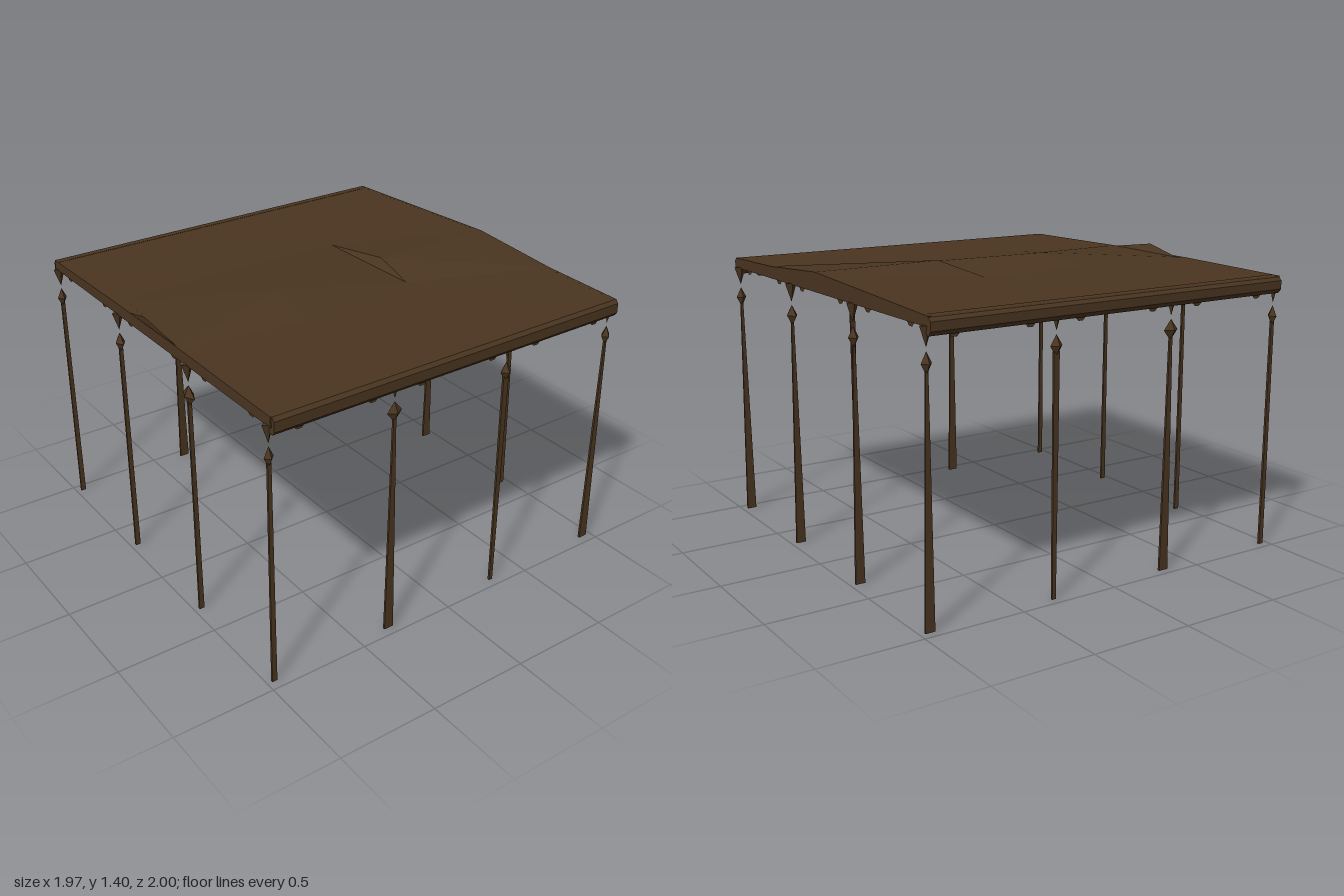
import * as THREE from 'three';

export function createModel() {
  const model = new THREE.Group();
  model.name = 'pavilion';
  const wood = new THREE.MeshStandardMaterial({ color: 0x4a3520, flatShading: true, side: THREE.DoubleSide });

  function add(name, geometry, parent = model) {
    const mesh = new THREE.Mesh(geometry, wood);
    mesh.name = name;
    parent.add(mesh);
    return mesh;
  }

  // Convex panels, each a fan of [x, y, z] corners
  function panels(list) {
    const pos = [];
    for (const p of list)
      for (let i = 1; i < p.length - 1; i++) pos.push(...p[0], ...p[i], ...p[i + 1]);
    const g = new THREE.BufferGeometry();
    g.setAttribute('position', new THREE.Float32BufferAttribute(pos, 3));
    g.computeVertexNormals();
    return g;
  }

  // Outline of [z, y] points extruded along x
  function extrudeX(points, x0, x1) {
    const shape = new THREE.Shape(points.map(([z, y]) => new THREE.Vector2(-z, y)));
    const g = new THREE.ExtrudeGeometry(shape, { depth: x1 - x0, bevelEnabled: false });
    return g.rotateY(Math.PI / 2).translate(x0, 0, 0);
  }

  // Roof skin: low slopes around a sunken middle panel with a ridge on each side
  const L = -0.965, R = 0.95;
  const backL = [L, 1.35, -0.98], backR = [R, 1.35, -0.98];
  const frontL = [L, 1.355, 0.98], frontR = [R, 1.355, 0.98];
  const midBL = [-0.31, 1.366, -0.33], midBR = [0.26, 1.361, -0.32];
  const midFR = [0.27, 1.361, 0.28], midFL = [-0.37, 1.363, 0.36];
  const ridgeL = [-0.32, 1.393, 0.05], ridgeR = [0.3, 1.402, 0.04];
  const endR = [R, 1.398, 0.04], sideR = [R, 1.364, 0.54];
  const endB = [L, 1.362, -0.32], endF = [L, 1.362, 0.27];
  add('roofTop', panels([
    [backL, endB, midBL], [backL, midBL, midBR], [backL, midBR, backR],
    [frontL, midFL, endF], [frontL, midFR, midFL],
    [frontL, frontR, midFR], [frontR, sideR, midFR],
    [midBR, ridgeR, endR], [midBR, endR, backR],
    [ridgeR, midFR, sideR], [ridgeR, sideR, endR],
    [midBR, midFR, ridgeR],
    [endB, ridgeL, midBL], [endB, endF, ridgeL], [endF, midFL, ridgeL],
    [ridgeL, midFL, midFR], [ridgeL, midFR, midBR], [ridgeL, midBR, midBL],
  ]));
  // Raised sliver along the left edge of the roof
  add('roofLip', panels([
    [[-0.92, 1.362, -0.32], [-0.975, 1.402, -0.03], [-0.965, 1.36, 0.26]],
    [[-0.975, 1.402, -0.03], [-0.965, 1.36, 0.26], [-0.965, 1.33, -0.3]],
  ]));
  add('roofUnderside', panels([[[L, 1.306, -0.97], [R, 1.306, -0.97], [R, 1.306, 0.97], [L, 1.306, 0.97]]]));

  // Rolled eaves at the front and back
  const frontEave = [[0.94, 1.306], [0.955, 1.275], [0.985, 1.272], [1, 1.29], [1, 1.338], [0.985, 1.355], [0.94, 1.355]];
  const backEave = [[-0.94, 1.305], [-0.96, 1.275], [-0.985, 1.27], [-1, 1.29], [-1, 1.33], [-0.985, 1.346], [-0.94, 1.352]];
  add('frontEave', extrudeX(frontEave, -0.965, 0.955));
  add('backEave', extrudeX(backEave, -0.965, 0.955));

  // Side boards follow the roof line
  add('rightBoard', extrudeX([[0.98, 1.305], [0.98, 1.355], [0.54, 1.364], [0.04, 1.398], [-0.98, 1.35], [-0.98, 1.305]], 0.94, 0.955));
  add('leftBoard', extrudeX([[0.98, 1.305], [0.98, 1.355], [0.27, 1.362], [-0.32, 1.362], [-0.98, 1.35], [-0.98, 1.305]], -0.97, -0.955));

  // Small carved teeth hanging under all four edges
  const tooth = (a, top, depth) => [[a - 0.035, top], [a + 0.035, top], [a + 0.012, top - depth], [a - 0.012, top - depth]];
  for (const a of [-0.83, -0.46, -0.2, 0.2, 0.46, 0.83]) {
    for (const z of [-0.975, 0.975])
      add('eaveTooth', panels([tooth(a, 1.278, 0.024).map(([x, y]) => [x, y, z])]));
    for (const x of [-0.962, 0.948])
      add('sideTooth', panels([tooth(a, 1.308, 0.022).map(([z, y]) => [x, y, z])]));
  }

  // Posts round the edge: thin blades, each with a diamond knob and a bracket
  const columns = [
    { x: -0.962, top: 0.018, base: 0.026, knob: 0.024 },
    { x: -0.325, top: 0.014, base: 0.05, knob: 0.04 },
    { x: 0.312, top: 0.03, base: 0.02, knob: 0.032 },
    { x: 0.95, top: 0.012, base: 0.048, knob: 0.026 },
  ];
  const rows = [
    { z: 0.95, knob: 0.024 }, { z: 0.32, knob: 0.05 },
    { z: -0.322, knob: 0.036 }, { z: -0.955, knob: 0.028 },
  ];
  columns.forEach((c, i) => rows.forEach((r, j) => {
    if (i % 3 && j % 3) return;
    const post = new THREE.Group();
    post.name = 'post';
    post.position.set(c.x, 0, r.z);
    model.add(post);

    const blade = new THREE.BoxGeometry(1, 1.13, 0.011).translate(0, 0.565, 0);
    const p = blade.attributes.position;
    for (let k = 0; k < p.count; k++) p.setX(k, p.getX(k) * (p.getY(k) > 0.5 ? c.top : c.base));
    add('postShaft', blade, post);

    const knob = add('postKnob', new THREE.OctahedronGeometry(1), post);
    knob.scale.set(c.knob, 0.05, r.knob);
    knob.position.y = 1.155;

    const bracket = add('postBracket', new THREE.ConeGeometry(0.03, 0.09, 4), post);
    bracket.rotation.x = Math.PI;
    bracket.scale.set(1, 1, 0.7);
    bracket.position.y = 1.265;
  }));

  return model;
}
